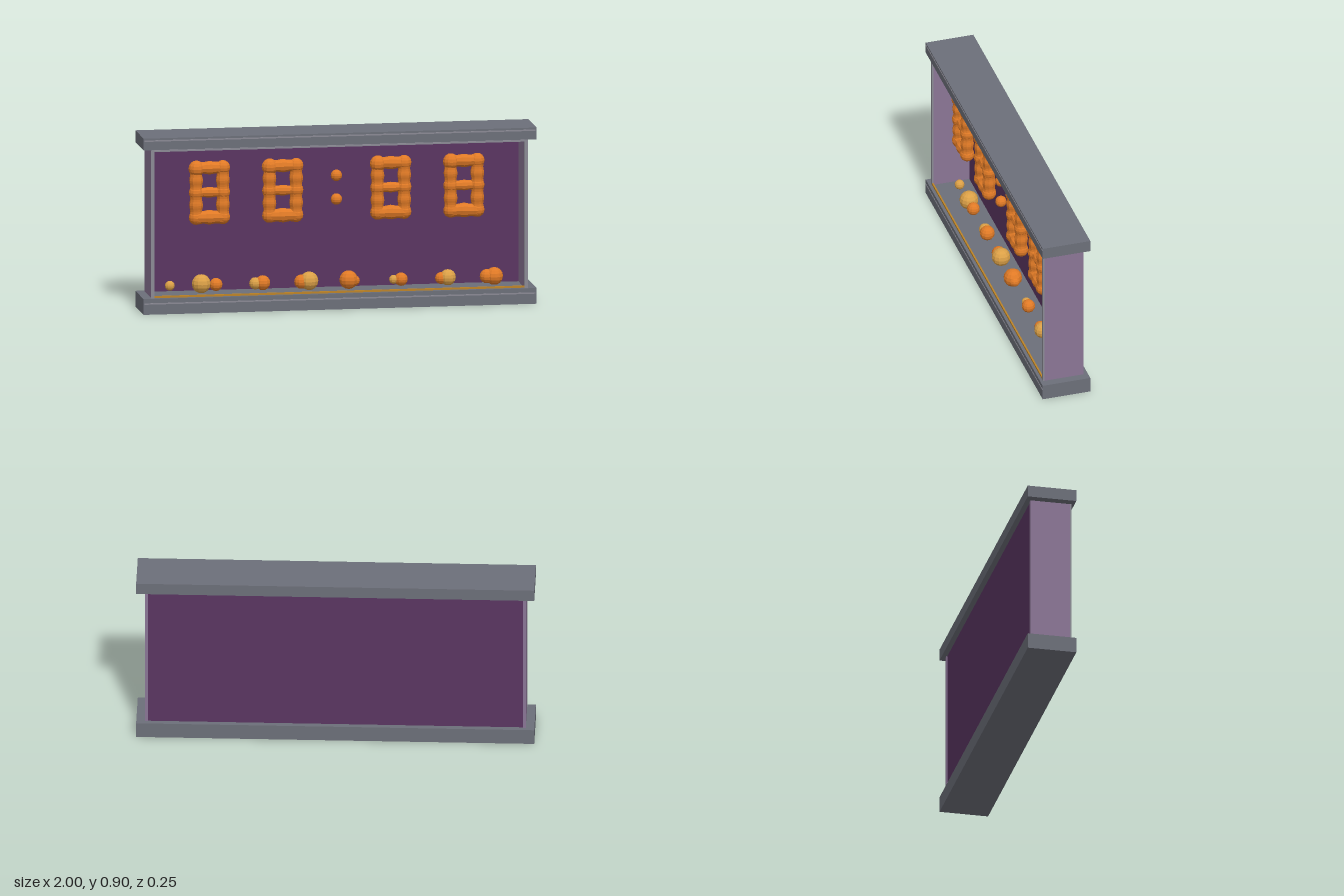
import * as THREE from 'three';

export function createModel() {
  const model = new THREE.Group();
  const mat = (name, color, flatShading = false) => {
    const m = new THREE.MeshStandardMaterial({ color, flatShading });
    m.name = name;
    return m;
  };
  const grey = mat('slate grey', 0x6c6f79);
  const trim = mat('light grey trim', 0x8b8a94);
  const purple = mat('deep purple', 0x5a3561);
  const mauve = mat('mauve', 0x8a7595);
  const orange = mat('orange', 0xe07a26, true);
  const amber = mat('amber', 0xdba047, true);
  const gold = mat('dark gold', 0xbd8428);

  const add = (parent, name, geo, material, x = 0, y = 0, z = 0) => {
    const mesh = new THREE.Mesh(geo, material);
    mesh.name = name;
    mesh.position.set(x, y, z);
    parent.add(mesh);
    return mesh;
  };
  const box = (name, m, w, h, d, x, y, z) =>
    add(model, name, new THREE.BoxGeometry(w, h, d), m, x, y, z);

  // Case: base, cap, back wall and side walls
  box('base', grey, 2, 0.08, 0.25, 0, 0.04, 0);
  box('cap', grey, 2, 0.06, 0.25, 0, 0.868, 0);
  box('backPanel', purple, 1.9, 0.76, 0.012, 0, 0.459, -0.092);
  for (const s of [-1, 1]) {
    box('sidePanel', mauve, 0.015, 0.76, 0.205, s * 0.9495, 0.459, 0);
    box('frontPost', trim, 0.018, 0.76, 0.008, s * 0.95, 0.459, 0.1065);
  }

  // Thin horizontal trims across the front
  box('capTrim', trim, 1.99, 0.007, 0.004, 0, 0.885, 0.125);
  box('baseTrim', trim, 1.99, 0.007, 0.004, 0, 0.055, 0.125);
  box('upperRail', trim, 1.89, 0.009, 0.008, 0, 0.83, 0.108);
  box('floorStrip', gold, 1.89, 0.01, 0.008, 0, 0.086, 0.106);

  // A lumpy rounded bar running along y, with swollen ends and middle
  const lumpyBar = (length, r) => {
    const pts = [];
    for (let i = 0; i <= 12; i++) {
      const t = i / 12;
      const swell = 0.93 + 0.07 * Math.cos(t * Math.PI * 4);
      pts.push(new THREE.Vector2(r * swell, (t - 0.5) * length));
    }
    return new THREE.LatheGeometry(pts, 10);
  };
  const ball = (r) => new THREE.SphereGeometry(r, 12, 8);

  // Digits: figure eights of soft blobs
  const rows = [[0.473, 0.037], [0.6, 0.027], [0.725, 0.034]];
  for (const x of [-0.65, -0.277, 0.273, 0.645]) {
    const digit = new THREE.Group();
    digit.name = 'digit';
    digit.position.set(x, 0, 0.036);
    model.add(digit);
    for (const [y, r] of rows) {
      add(digit, 'horizontalSegment', lumpyBar(0.136, r), orange, 0, y).rotation.z = Math.PI / 2;
      for (const s of [-1, 1]) add(digit, 'jointBlob', ball(0.037), orange, s * 0.068, y);
    }
    for (const s of [-1, 1]) for (const y of [0.536, 0.662])
      add(digit, 'verticalSegment', lumpyBar(0.126, 0.035), orange, s * 0.068, y);
    add(digit, 'cornerBlob', ball(0.041), orange, -0.066, 0.722);
  }

  // Colon dots
  for (const y of [0.547, 0.668]) add(model, 'colonDot', ball(0.029), orange, -0.004, y, 0.036);

  // Blobs resting along the floor: x, y, radius, material
  const blobs = [
    [-0.845, 0.122, 0.025, amber], [-0.685, 0.128, 0.048, amber], [-0.61, 0.122, 0.033, orange],
    [-0.41, 0.122, 0.031, amber], [-0.372, 0.124, 0.038, orange],
    [-0.176, 0.124, 0.036, orange], [-0.136, 0.127, 0.047, amber],
    [0.065, 0.127, 0.047, orange], [0.095, 0.122, 0.027, orange],
    [0.294, 0.122, 0.023, amber], [0.332, 0.122, 0.034, orange],
    [0.535, 0.122, 0.03, orange], [0.57, 0.125, 0.041, amber],
    [0.768, 0.125, 0.036, orange], [0.806, 0.125, 0.045, orange],
  ];
  for (const [x, y, r, m] of blobs) add(model, 'floorBlob', ball(r), m, x, y, -0.005);

  return model;
}
